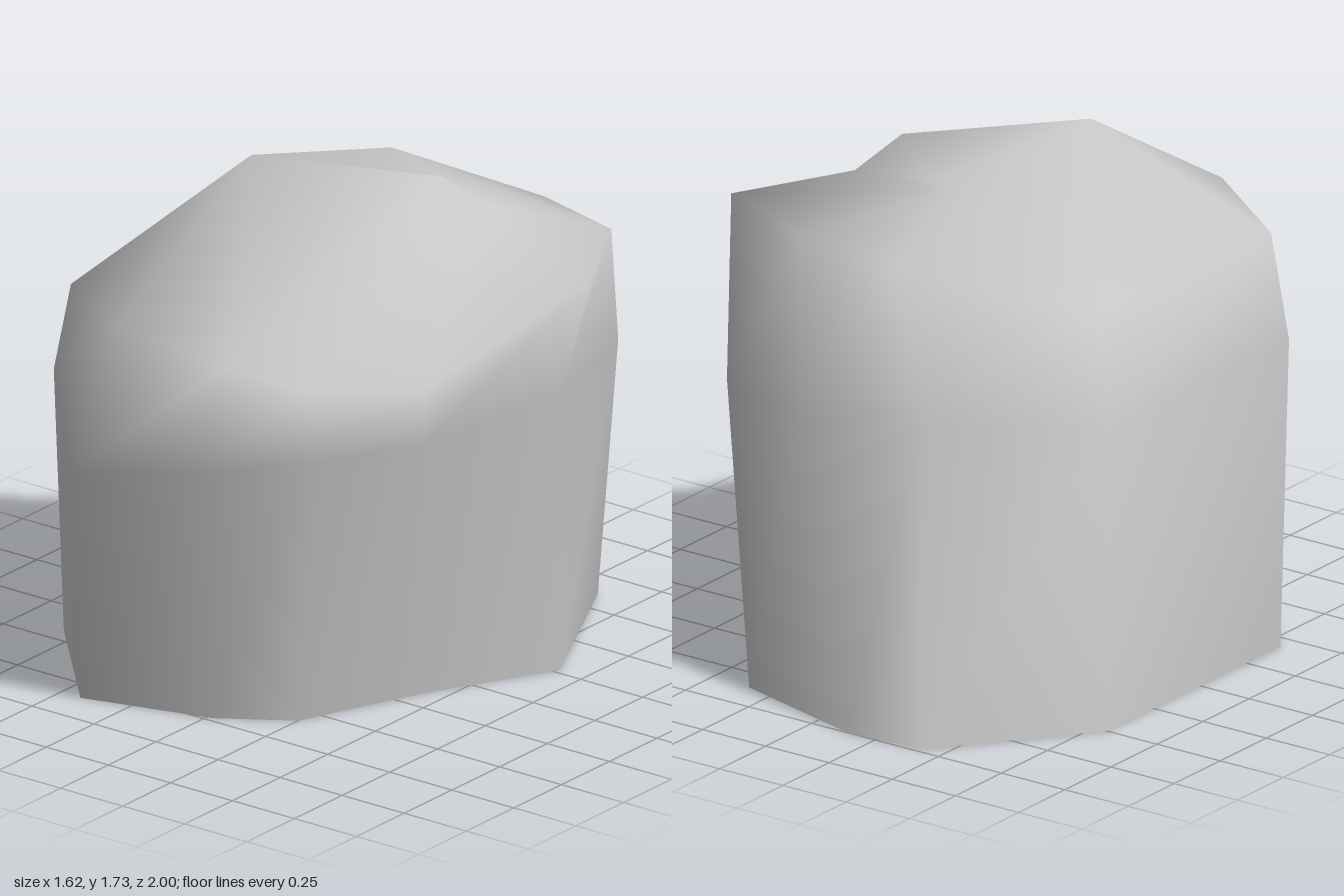
import * as THREE from 'three';
import { mergeVertices } from 'three/addons/utils/BufferGeometryUtils.js';

export function createModel() {
  const group = new THREE.Group();
  const stone = new THREE.MeshStandardMaterial({ color: 0xc8c8c8, side: THREE.DoubleSide });
  stone.name = 'stone grey';

  // Crown points shared by the upper ends of the spokes
  const peak = [-0.2, 1.73, 0.24];
  const ridge = [0.3, 1.67, -0.1];
  const notch = [0.4, 1.56, -0.22];
  const backCrest = [-0.05, 1.62, -0.3];
  const hollow = [0.1, 1.58, -0.21];

  // Upright spokes round the boulder: base, waist, shoulder, crown
  const spokes = [
    [[-0.80, 0, -0.50], [-0.72, 0.98, -0.37], [-0.60, 1.30, -0.26], peak],
    [[-0.42, 0, -0.98], [-0.22, 0.97, -0.70], [-0.01, 1.43, -0.57], backCrest],
    [[-0.14, 0, -1.00], [0.18, 0.97, -0.82], [0.35, 1.46, -0.58], backCrest],
    [[0.35, 0, -0.86], [0.54, 0.97, -0.72], [0.72, 1.48, -0.45], notch],
    [[0.65, 0, -0.27], [0.71, 0.99, -0.20], [0.81, 1.39, -0.22], notch],
    [[0.43, 0, 0.14], [0.57, 0.95, 0.33], [0.58, 1.15, 0.35], notch],
    [[0.25, 0, 0.58], [0.40, 0.96, 0.69], [0.39, 1.20, 0.70], ridge],
    [[0.02, 0, 0.73], [0.08, 0.90, 0.87], [0.16, 1.28, 0.84], peak],
    [[-0.42, 0, 0.85], [-0.35, 0.84, 1.00], [-0.25, 1.34, 0.88], peak],
    [[-0.81, 0, 0.43], [-0.72, 0.98, 0.60], [-0.62, 1.31, 0.64], peak],
  ];

  // Skin between neighbouring spokes, open underneath
  const position = [];
  const same = (a, b) => a.every((v, i) => v === b[i]);
  const triangle = (a, b, c) => {
    if (!same(a, b) && !same(b, c) && !same(a, c)) position.push(...a, ...b, ...c);
  };
  spokes.forEach((spoke, i) => {
    const next = spokes[(i + 1) % spokes.length];
    for (let r = 0; r < 3; r++) {
      triangle(spoke[r], spoke[r + 1], next[r]);
      triangle(next[r], spoke[r + 1], next[r + 1]);
    }
  });

  // Shallow hollow between the crown points
  const rim = [peak, ridge, notch, backCrest];
  rim.forEach((p, i) => triangle(p, rim[(i + 1) % rim.length], hollow));

  let geometry = new THREE.BufferGeometry();
  geometry.setAttribute('position', new THREE.Float32BufferAttribute(position, 3));
  geometry = mergeVertices(geometry);
  geometry.computeVertexNormals();

  const boulder = new THREE.Mesh(geometry, stone);
  boulder.name = 'boulder';
  group.add(boulder);
  return group;
}
